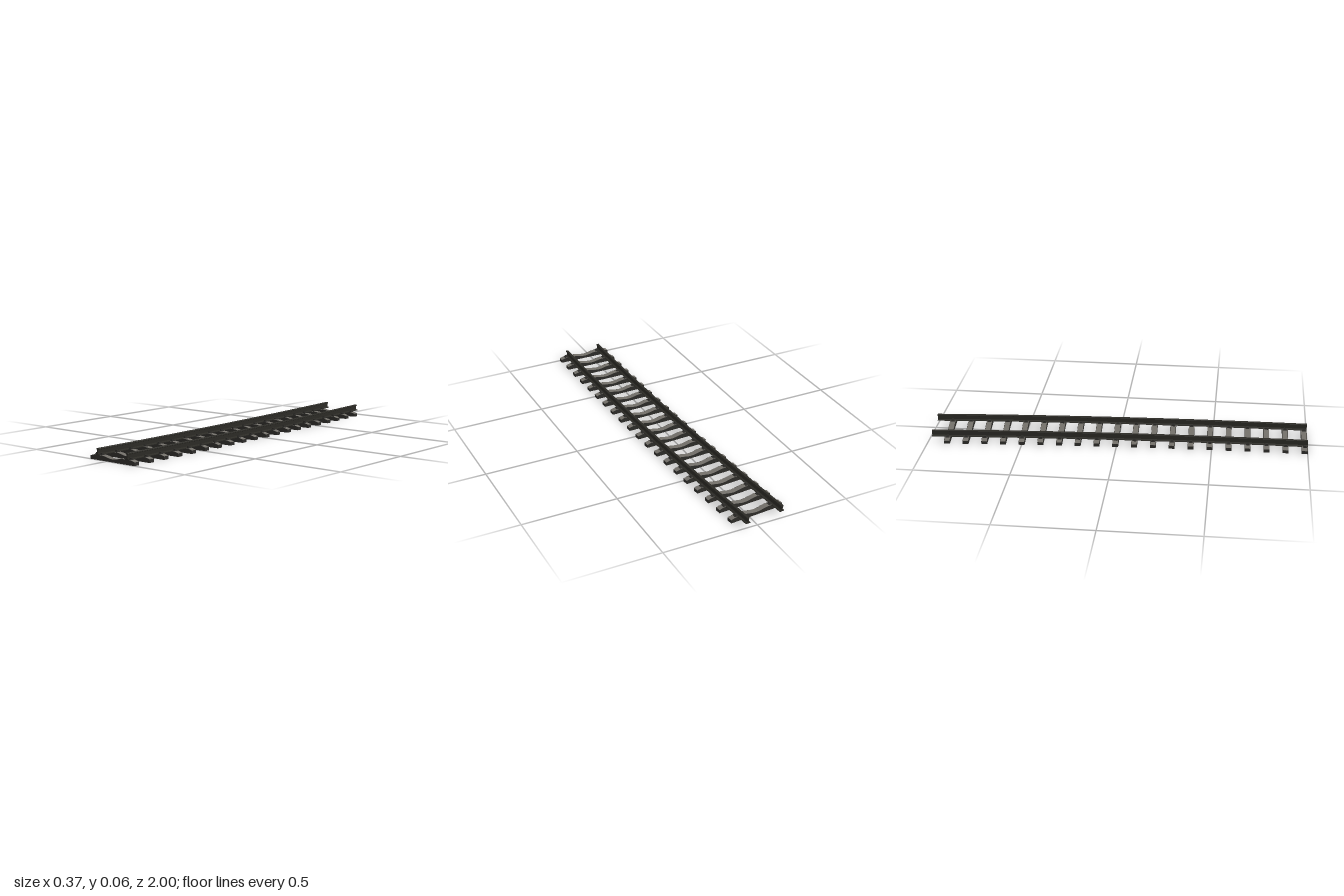
import * as THREE from 'three';

const R = 23.4;              // radius of the track centre line
const CX = 0.0375 - R;       // centre of curvature
const SWEEP = 0.0852;        // total angle of the curve
const GAUGE = 0.0985;        // rail offset from the centre line
const TIES = 20;

const mat = (name, color, side = THREE.FrontSide) => {
  const m = new THREE.MeshStandardMaterial({ color, side });
  m.name = name;
  return m;
};

// I-section rail profile, bent along the arc
function railGeometry(offset) {
  const half = [[0.0125, 0.023], [0.0125, 0.026], [0.003, 0.030], [0.003, 0.048],
    [0.007, 0.050], [0.007, 0.055], [0.0058, 0.0565]];
  const pts = [...half, ...half.map(([x, y]) => [-x, y]).reverse()];
  const shape = new THREE.Shape(pts.map(([x, y]) => new THREE.Vector2(x, y)));
  const geo = new THREE.ExtrudeGeometry(shape, { depth: 1, steps: 24, bevelEnabled: false });
  const p = geo.attributes.position;
  for (let i = 0; i < p.count; i++) {
    const a = (1 - p.getZ(i)) * SWEEP, r = R + offset + p.getX(i);
    p.setXYZ(i, CX + r * Math.cos(a), p.getY(i), 1 - r * Math.sin(a));
  }
  geo.computeVertexNormals();
  return geo;
}

// Upper outline of a tie: sagging middle, raised rail seats, sloping ends
function tieTop() {
  const pts = [[-0.1475, 0.017], [-0.122, 0.024], [-0.072, 0.024]];
  for (let i = 1; i < 8; i++) {
    const t = i / 4 - 1;
    pts.push([t * 0.072, 0.0135 + 0.0105 * (1 - Math.cos(t * Math.PI)) / 2]);
  }
  pts.push([0.072, 0.024], [0.122, 0.024], [0.1475, 0.017]);
  return pts;
}

function slab(top, bottom, depth) {
  const shape = new THREE.Shape([...bottom, ...top.slice().reverse()]
    .map(([x, y]) => new THREE.Vector2(x, y)));
  return new THREE.ExtrudeGeometry(shape, { depth, bevelEnabled: false }).translate(0, 0, -depth / 2);
}

export function createModel() {
  const group = new THREE.Group();
  group.name = 'curvedTrack';
  const railMat = mat('dark steel', 0x2b2a25);
  const tieMat = mat('dark tie', 0x2e2d2a);
  const topMat = mat('grey tie top', 0x726f69);

  const add = (parent, name, geo, material, x = 0, y = 0, z = 0) => {
    const m = new THREE.Mesh(geo, material);
    m.name = name;
    m.position.set(x, y, z);
    parent.add(m);
  };

  // Rails
  add(group, 'leftRail', railGeometry(GAUGE), railMat);
  add(group, 'rightRail', railGeometry(-GAUGE), railMat);

  // Ties with their rail fasteners
  const top = tieTop();
  const bodyGeo = slab(top, [[-0.1475, 0], [0.1475, 0]], 0.031);
  const faceGeo = slab(top.map(([x, y]) => [x, y + 0.0006]), top, 0.028);
  const plateGeo = new THREE.BoxGeometry(0.048, 0.006, 0.021);
  const clipGeo = new THREE.BoxGeometry(0.011, 0.008, 0.012);
  for (let i = 0; i < TIES; i++) {
    const a = (0.0155 + i * 0.0997) / R;
    const tie = new THREE.Group();
    tie.name = 'tie' + (i + 1);
    tie.position.set(CX + R * Math.cos(a), 0, 1 - R * Math.sin(a));
    tie.rotation.y = a;
    add(tie, 'tieBody', bodyGeo, tieMat);
    add(tie, 'tieTop', faceGeo, topMat);
    for (const s of [-1, 1]) {
      add(tie, 'railPlate', plateGeo, tieMat, s * GAUGE, 0.025);
      for (const k of [-1, 1]) {
        add(tie, 'railClip', clipGeo, tieMat, s * GAUGE + k * 0.0145, 0.030);
      }
    }
    group.add(tie);
  }
  return group;
}
